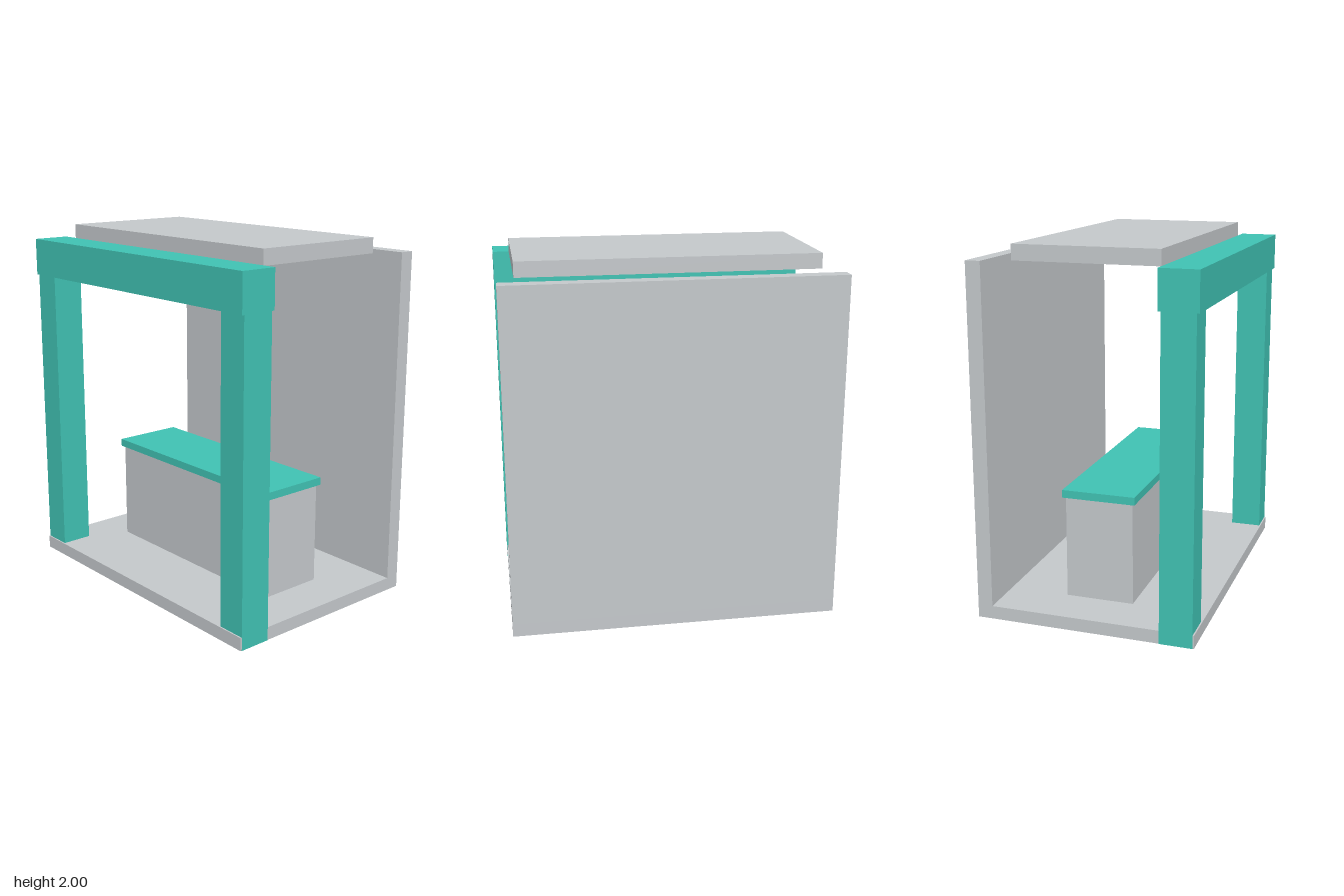
import * as THREE from 'three';

export function createModel() {
  const group = new THREE.Group();
  const grey = new THREE.MeshStandardMaterial({ color: 0xc4c8cb });
  grey.name = 'light grey panel';
  const teal = new THREE.MeshStandardMaterial({ color: 0x40c2b3 });
  teal.name = 'teal trim';

  // Box given by its lower and upper bounds on each axis
  function box(name, material, [x0, x1], [y0, y1], [z0, z1]) {
    const mesh = new THREE.Mesh(new THREE.BoxGeometry(x1 - x0, y1 - y0, z1 - z0), material);
    mesh.position.set((x0 + x1) / 2, (y0 + y1) / 2, (z0 + z1) / 2);
    mesh.name = name;
    group.add(mesh);
  }

  // Booth shell: floor, back wall and raised roof slab
  box('floor', grey, [-0.898, 0.898], [0.001, 0.073], [-0.603, 0.598]);
  box('backWall', grey, [-0.898, 0.898], [0.073, 1.92], [-0.603, -0.521]);
  box('roof', grey, [-0.808, 0.808], [1.917, 2], [-0.393, 0.387]);

  // Front frame: two posts through the floor, carrying a beam
  box('rightPost', teal, [-0.899, -0.733], [0, 1.716], [0.412, 0.59]);
  box('leftPost', teal, [0.733, 0.899], [0, 1.716], [0.412, 0.59]);
  box('beam', teal, [-0.899, 0.899], [1.716, 1.922], [0.396, 0.603]);

  // Counter with overhanging top
  box('counterBase', grey, [-0.638, 0.638], [0.073, 0.641], [-0.191, 0.186]);
  box('counterTop', teal, [-0.655, 0.655], [0.641, 0.684], [-0.206, 0.201]);

  return group;
}
